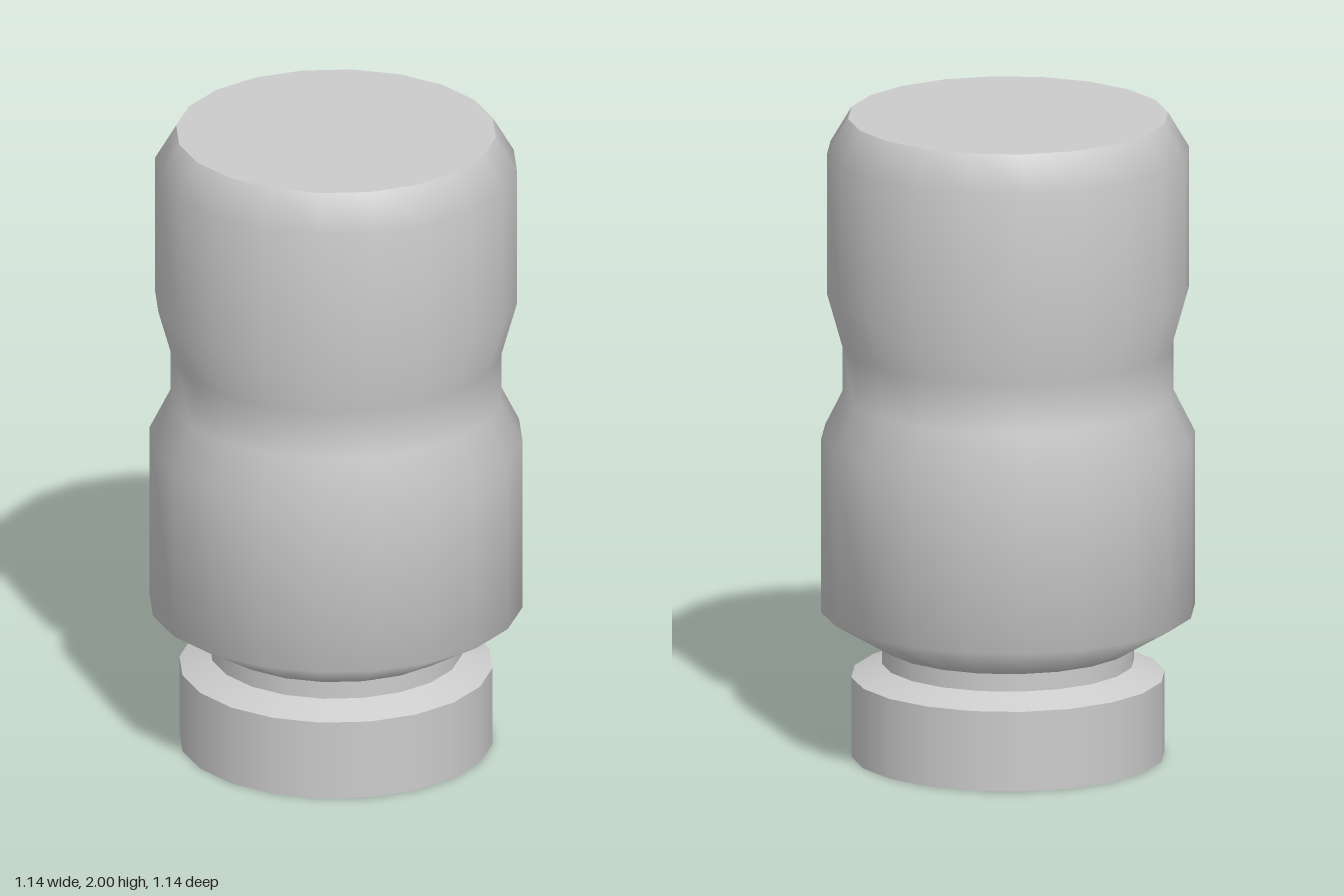
import * as THREE from 'three';

const SIDES = 20;

export function createModel() {
  const model = new THREE.Group();
  const material = new THREE.MeshStandardMaterial({ color: 0xcccccc, side: THREE.DoubleSide });

  // Each section is its own lathe, so joints stay sharp and the bends inside it smooth.
  const turn = (name, profile) => {
    const points = profile.map(([r, y]) => new THREE.Vector2(r, y));
    const mesh = new THREE.Mesh(new THREE.LatheGeometry(points, SIDES), material);
    mesh.name = name;
    model.add(mesh);
    return mesh;
  };

  // Open collar at the foot, its sloped shoulder and the narrow neck
  turn('collar', [[0.478, 0], [0.478, 0.25]]);
  turn('collarShoulder', [[0.478, 0.25], [0.385, 0.29]]);
  turn('neck', [[0.385, 0.29], [0.385, 0.345]]);

  // Hollow body with a waist between the two bulges
  turn('body', [
    [0.385, 0.345], [0.57, 0.455], [0.57, 1.0], [0.505, 1.13],
    [0.505, 1.285], [0.553, 1.455], [0.553, 1.89], [0.488, 2.0],
  ]);

  // Flat top
  const top = new THREE.Mesh(new THREE.CircleGeometry(0.488, SIDES), material);
  top.name = 'top';
  top.rotation.x = -Math.PI / 2;
  top.position.y = 2;
  model.add(top);

  return model;
}
